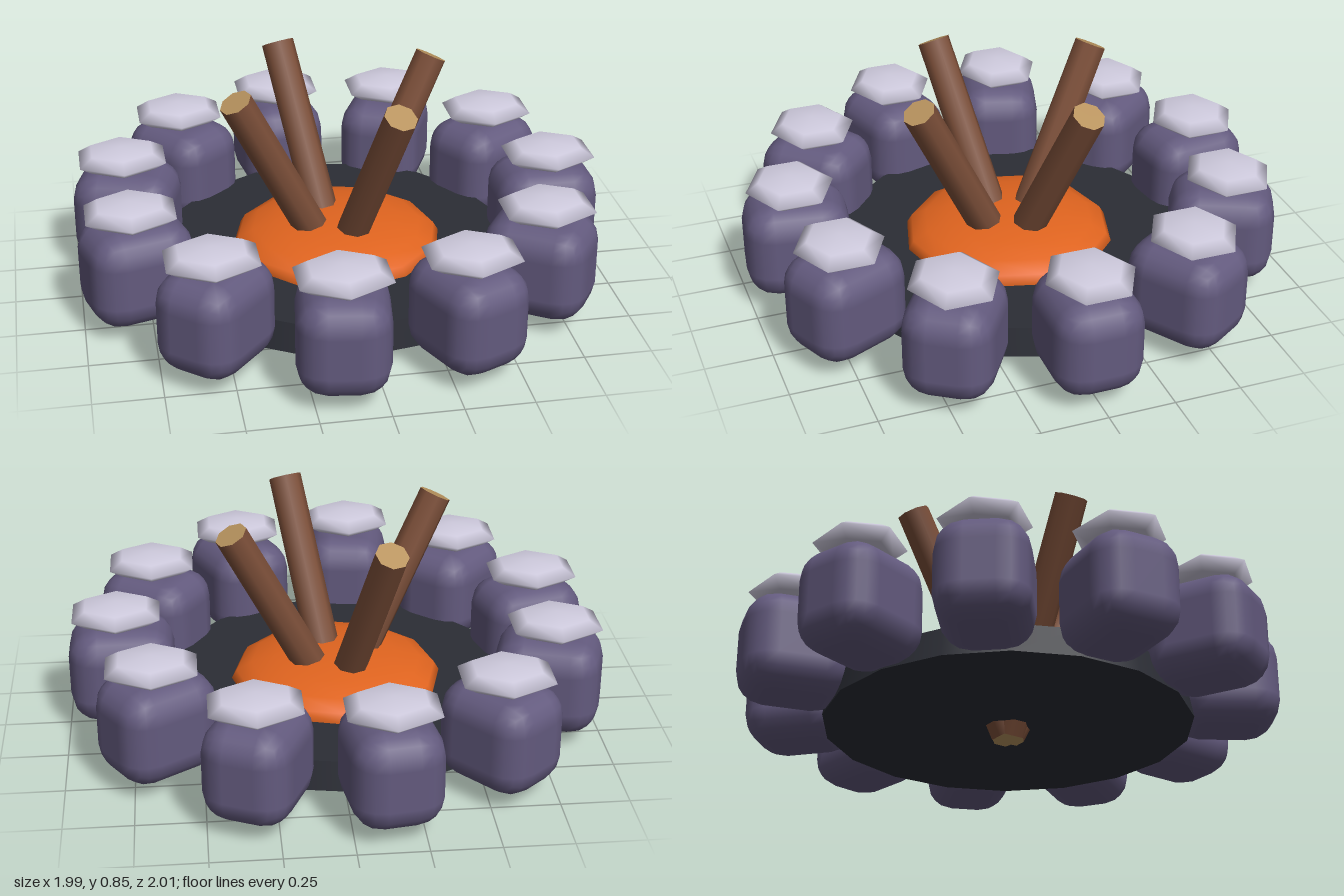
import * as THREE from 'three';
import { RoundedBoxGeometry } from 'three/addons/geometries/RoundedBoxGeometry.js';

const paint = (name, color) => {
  const m = new THREE.MeshStandardMaterial({ color });
  m.name = name;
  return m;
};

export function createModel() {
  const stoneMat = paint('stone', 0x635a7e);
  const snowMat = paint('snow', 0xcfcbde);
  const ashMat = paint('ash', 0x2b2d35);
  const emberMat = paint('ember', 0xe0641f);
  const barkMat = paint('bark', 0x7c4f39);
  const woodMat = paint('cutWood', 0xb8935e);

  const model = new THREE.Group();
  model.name = 'campfire';
  const pit = new THREE.Group();
  pit.name = 'firePit';
  pit.position.x = -0.02;
  model.add(pit);

  const add = (name, geometry, material, x, y, z) => {
    const mesh = new THREE.Mesh(geometry, material);
    mesh.name = name;
    mesh.position.set(x, y, z);
    pit.add(mesh);
    return mesh;
  };

  // Ash bed and glowing ember dome
  add('ashBed', new THREE.CylinderGeometry(0.665, 0.685, 0.11, 18), ashMat, 0, 0.11, 0);
  const dome = new THREE.SphereGeometry(0.4, 12, 5, 0, Math.PI * 2, 0, Math.PI / 2);
  dome.scale(1, 0.275, 1);
  add('embers', dome, emberMat, 0, 0.164, 0);

  // Ring of rounded stones, each with a faceted snow cap
  const stoneGeo = new RoundedBoxGeometry(0.395, 0.372, 0.33, 2, 0.11);
  const capGeo = new THREE.SphereGeometry(1, 6, 4);
  capGeo.rotateY(Math.PI / 2);
  capGeo.scale(0.187, 0.047, 0.165);
  const count = 11;
  for (let i = 0; i < count; i++) {
    const a = (i / count) * Math.PI * 2;
    const c = Math.cos(a), s = Math.sin(a);
    add('stone', stoneGeo, stoneMat, c * 0.81, 0.238, s * 0.81).rotation.y = -a;
    add('snowCap', capGeo, snowMat, c * 0.825, 0.463, s * 0.825);
  }

  // Four logs leaning outward from a shared foot
  const up = new THREE.Vector3(0, 1, 0);
  for (let i = 0; i < 4; i++) {
    const a = 1.18 + (i * Math.PI) / 2;
    const foot = new THREE.Vector3(0, 0.031, 0);
    const tip = new THREE.Vector3(Math.cos(a) * 0.425, 0.83, Math.sin(a) * 0.425);
    const axis = tip.clone().sub(foot);
    const mid = tip.clone().add(foot).multiplyScalar(0.5);
    const geo = new THREE.CylinderGeometry(0.062, 0.065, axis.length(), 8);
    const log = add('log', geo, [barkMat, woodMat, woodMat], mid.x, mid.y, mid.z);
    log.quaternion.setFromUnitVectors(up, axis.normalize());
  }
  return model;
}
